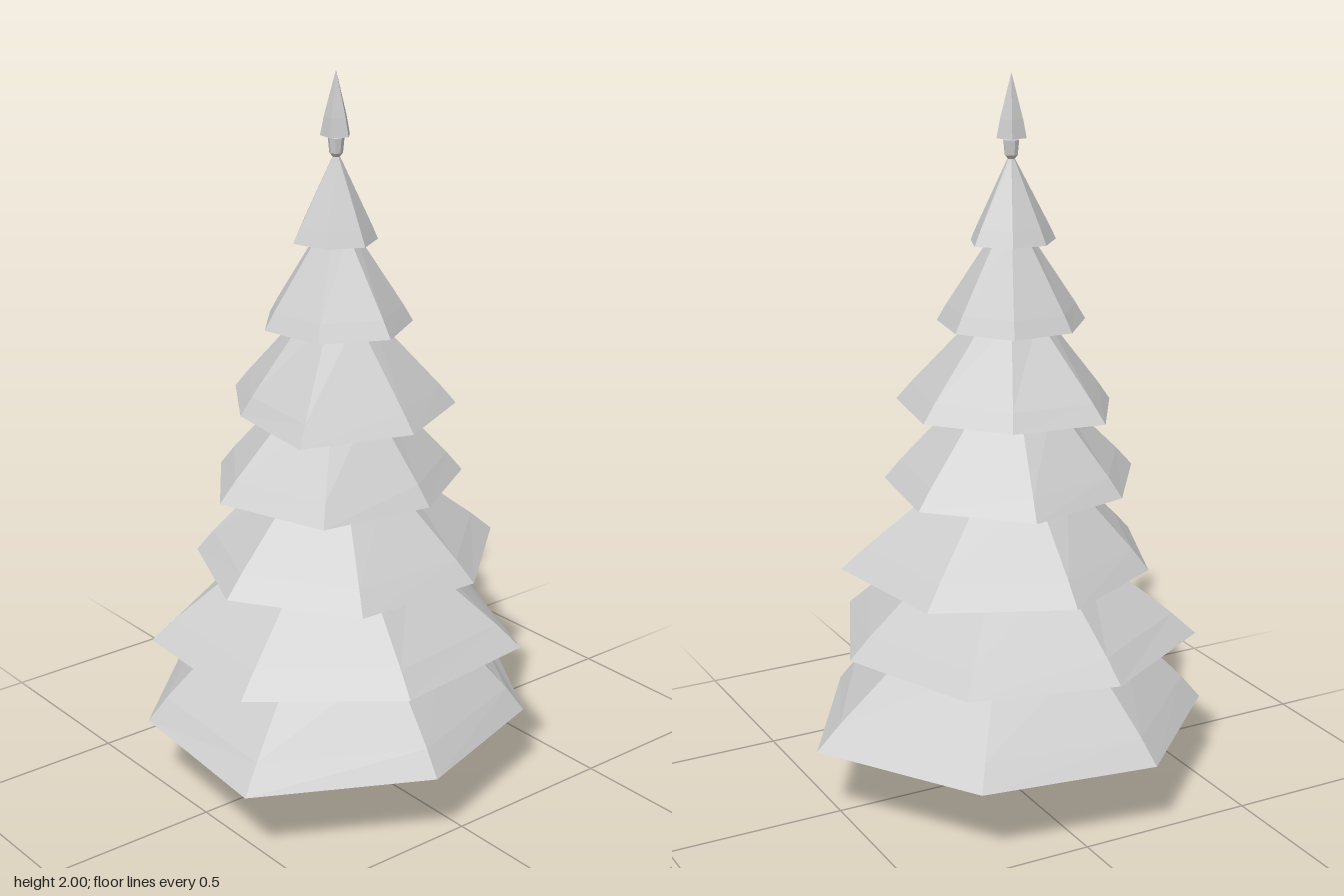
import * as THREE from 'three';

const CX = -0.035; // trunk axis

// Faceted solid from rings of 3D points, closed at the bottom and top
function loft(rings) {
  const n = rings[0].length, pos = [];
  const tri = (...ps) => ps.forEach(p => pos.push(p.x, p.y, p.z));
  const mid = ring => ring.reduce((s, p) => s.add(p), new THREE.Vector3()).divideScalar(n);
  const low = rings[0], high = rings[rings.length - 1];
  const lowMid = mid(low), highMid = mid(high);
  for (let i = 0; i < n; i++) {
    const j = (i + 1) % n;
    tri(lowMid, low[i], low[j]);
    tri(highMid, high[j], high[i]);
    for (let k = 0; k < rings.length - 1; k++) {
      const a = rings[k], b = rings[k + 1];
      tri(a[j], a[i], b[i]);
      tri(a[j], b[i], b[j]);
    }
  }
  const g = new THREE.BufferGeometry();
  g.setAttribute('position', new THREE.Float32BufferAttribute(pos, 3));
  g.computeVertexNormals();
  return g;
}

// Uneven seven-sided ring; each corner has its own radius
const ring = (radii, startDeg, y) => radii.map((r, i) => {
  const a = THREE.MathUtils.degToRad(startDeg + i * 360 / radii.length);
  return new THREE.Vector3(CX + r * Math.cos(a), y, r * Math.sin(a));
});

// Branch tiers: base height, height of top, radius at top, start angle, corner radii
const TIERS = [
  [0.21, 0.46, 0.31, -3, [0.614, 0.534, 0.548, 0.623, 0.548, 0.562, 0.577]],
  [0.43, 0.685, 0.21, 3, [0.485, 0.527, 0.494, 0.525, 0.523, 0.475, 0.491]],
  [0.655, 0.91, 0.16, 17, [0.476, 0.425, 0.437, 0.43, 0.392, 0.43, 0.474]],
  [0.885, 1.13, 0.13, -20.6, [0.369, 0.35, 0.338, 0.39, 0.372, 0.34, 0.378]],
  [1.1, 1.355, 0.09, -11.5, [0.301, 0.323, 0.33, 0.385, 0.281, 0.315, 0.285]],
  [1.33, 1.575, 0.05, -12.9, [0.195, 0.205, 0.225, 0.22, 0.21, 0.2, 0.2]],
  [1.555, 1.775, 0.01, -12.9, [0.128, 0.11, 0.12, 0.12, 0.125, 0.115, 0.11]],
];

export function createModel() {
  const tree = new THREE.Group();
  tree.name = 'tree';
  const plain = new THREE.MeshStandardMaterial({ color: 0xcccccc, flatShading: true });
  plain.name = 'lightGrey';
  const add = (name, geometry, parent = tree) => {
    const m = new THREE.Mesh(geometry, plain);
    m.name = name;
    parent.add(m);
    return m;
  };

  // Trunk, flared at the foot and running up to the tip
  const trunkProfile = [[0, 0], [0.066, 0], [0.063, 0.03], [0.052, 0.1], [0.045, 0.22],
    [0.035, 0.6], [0.012, 1.6], [0.01, 1.775], [0.018, 1.785], [0.022, 1.825], [0, 1.835]];
  add('trunk', new THREE.LatheGeometry(trunkProfile.map(p => new THREE.Vector2(...p)), 8))
    .position.x = CX;

  // Roots sloping down and out from the foot
  const roots = new THREE.Group();
  roots.name = 'roots';
  roots.position.x = CX;
  tree.add(roots);
  const up = new THREE.Vector3(0, 1, 0);
  for (let i = 0; i < 6; i++) {
    const a = (15 + i * 60) * Math.PI / 180;
    const from = new THREE.Vector3(Math.cos(a) * 0.035, 0.062, Math.sin(a) * 0.035);
    const to = new THREE.Vector3(Math.cos(a) * 0.132, 0.016, Math.sin(a) * 0.132);
    const dir = to.clone().sub(from);
    const root = add('root', new THREE.CylinderGeometry(0.01, 0.02, dir.length(), 5), roots);
    root.position.copy(from).lerp(to, 0.5);
    root.quaternion.setFromUnitVectors(up, dir.normalize());
  }

  // Tiers, each with a low skirt band and a sloping cone above
  TIERS.forEach(([y0, y1, rTop, start, radii], i) => {
    const bandY = y0 + 0.065 * (1 - i * 0.06);
    const t = (bandY - y0) / (y1 - y0);
    const band = radii.map(r => r + (rTop - r) * t + 0.008 * (1 - i / 7));
    add('branchTier', loft([
      ring(radii, start, y0),
      ring(band, start, bandY),
      ring(radii.map(() => rTop), start, y1),
    ]));
  });

  // Pointed tip
  const tipProfile = [[0, 1.83], [0.042, 1.83], [0.032, 1.88], [0, 2]];
  const tip = add('treeTip', new THREE.LatheGeometry(tipProfile.map(p => new THREE.Vector2(...p)), 5));
  tip.position.x = CX;
  tip.rotation.y = 0.2;

  return tree;
}
